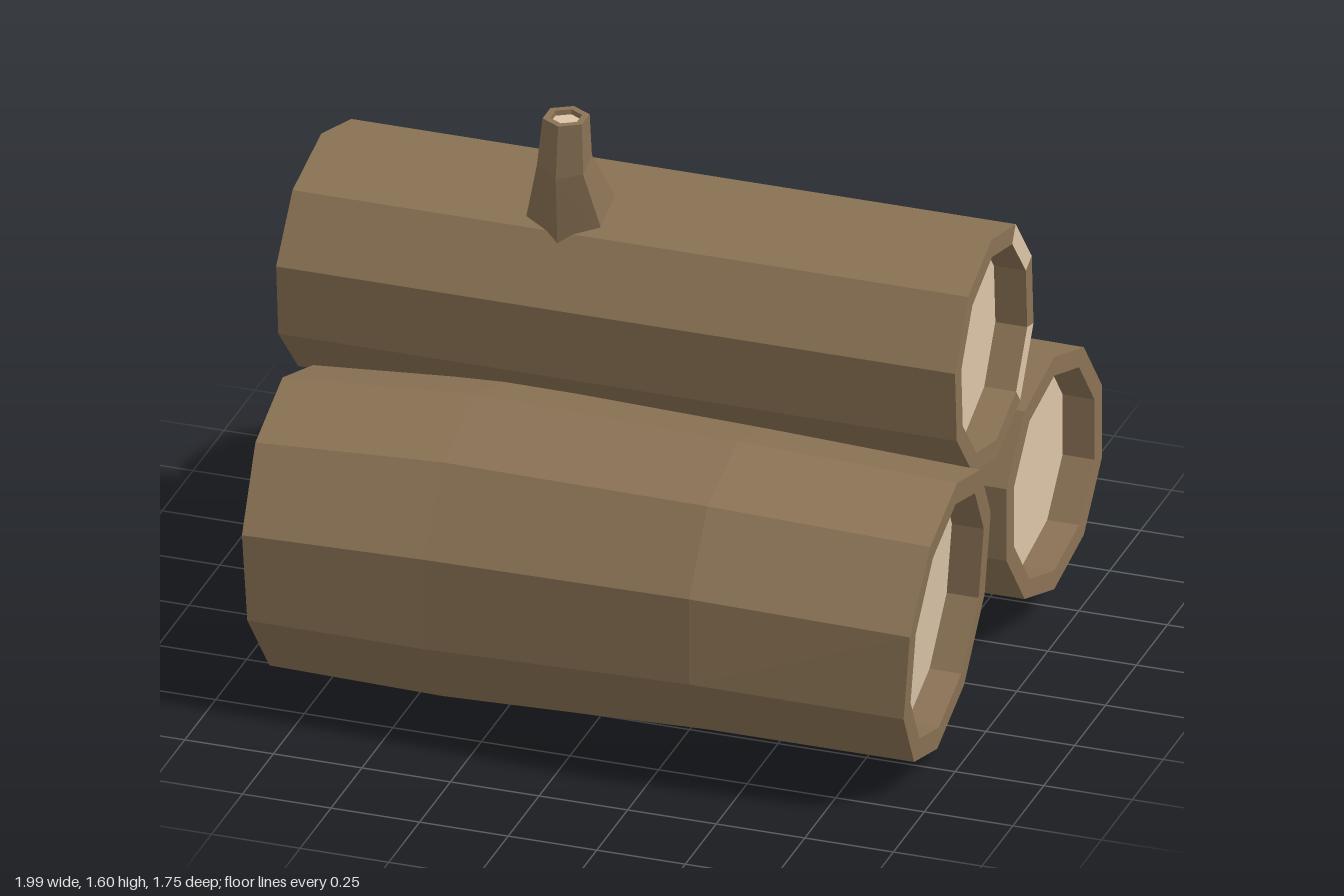
import * as THREE from 'three';

const bark = new THREE.MeshStandardMaterial({ color: 0x8b7355, flatShading: true });
const wood = new THREE.MeshStandardMaterial({ color: 0xdcc5a8, flatShading: true });

// Skin a run of cross-section loops; keep(k) can pick out single sides
function loft(name, rings, material, keep = () => true) {
  const pos = [];
  const n = rings[0].length;
  for (let i = 0; i < rings.length - 1; i++) {
    for (let k = 0; k < n; k++) {
      if (!keep(k)) continue;
      const j = (k + 1) % n;
      const [a, b, c, d] = [rings[i][k], rings[i + 1][k], rings[i + 1][j], rings[i][j]];
      for (const tri of [[a, b, c], [a, c, d]]) {
        const area = new THREE.Triangle(...tri).getArea();
        if (area > 1e-9) tri.forEach((p) => pos.push(p.x, p.y, p.z));
      }
    }
  }
  const geo = new THREE.BufferGeometry();
  geo.setAttribute('position', new THREE.Float32BufferAttribute(pos, 3));
  geo.computeVertexNormals();
  const mesh = new THREE.Mesh(geo, material);
  mesh.name = name;
  return mesh;
}

const SIDES = 10;

// One log section: centre, radius, and lean of the section plane in y and z
function logRing({ x, y, z, r, ty = 0, tz = 0, bump = {} }, phase, scale = 1, dx = 0) {
  return Array.from({ length: SIDES }, (_, k) => {
    const a = phase + (k * Math.PI * 2) / SIDES;
    const dy = Math.sin(a) * r * scale;
    const dz = Math.cos(a) * r * scale;
    return new THREE.Vector3(x + dx + ty * dy + tz * dz, y + dy, z + dz + (bump[k] || 0));
  });
}

// Log: bark, raised rims and sunken cut faces at both ends
function makeLog(name, sections, phaseDeg, paleRim = []) {
  const phase = THREE.MathUtils.degToRad(phaseDeg);
  const depth = 0.09, inner = 0.84;
  const first = sections[0], last = sections[sections.length - 1];
  const group = new THREE.Group();
  group.name = name;

  const leftRim = logRing(first, phase, inner);
  const leftCut = logRing(first, phase, inner, depth);
  const rightEdge = logRing(last, phase);
  const rightRim = logRing(last, phase, inner);
  const rightCut = logRing(last, phase, inner, -depth);

  group.add(
    loft('bark', [leftCut, leftRim, ...sections.map((s) => logRing(s, phase))], bark),
    loft('rim', [rightEdge, rightRim], bark, (k) => !paleRim.includes(k)),
    loft('rimWall', [rightRim, rightCut], bark),
    loft('cutFaceRight', [rightCut, logRing(last, phase, 0, -depth)], wood),
    loft('cutFaceLeft', [logRing(first, phase, 0, depth), leftCut], wood)
  );
  // Chipped parts of the rim show bare wood
  if (paleRim.length) {
    group.add(loft('chippedRim', [rightEdge, rightRim], wood, (k) => paleRim.includes(k)));
  }
  return group;
}

// Six-sided branch stub through points [x, y, z, radius], with a cut tip
function makeBranch(name, points, tipNormal) {
  const centres = points.map((p) => new THREE.Vector3(p[0], p[1], p[2]));
  const end = centres.length - 1;
  const ring = (i, scale = 1, sink = 0) => {
    const t = i === end
      ? new THREE.Vector3(...tipNormal).normalize()
      : centres[i + 1].clone().sub(centres[Math.max(i - 1, 0)]).normalize();
    const side = new THREE.Vector3(1, 0, 0);
    const u = side.addScaledVector(t, -side.dot(t)).normalize();
    const v = u.clone().cross(t);
    return Array.from({ length: 6 }, (_, k) => {
      const a = ((k + 0.5) * Math.PI) / 3;
      return centres[i].clone()
        .addScaledVector(u, Math.cos(a) * points[i][3] * scale)
        .addScaledVector(v, Math.sin(a) * points[i][3] * scale)
        .addScaledVector(t, -sink);
    });
  };
  const group = new THREE.Group();
  group.name = name;
  group.add(
    loft('branchBark', [...centres.map((_, i) => ring(i)), ring(end, 0.68), ring(end, 0.68, 0.015)], bark),
    loft('branchCut', [ring(end, 0.68, 0.015), ring(end, 0, 0.015)], wood)
  );
  return group;
}

export function createModel() {
  const model = new THREE.Group();
  model.name = 'logPile';

  model.add(makeLog('frontLog', [
    { x: -0.895, y: 0.425, z: 0.44, r: 0.408, ty: -0.06, tz: 0.01 },
    { x: -0.38, y: 0.437, z: 0.43, r: 0.432 },
    { x: 0.38, y: 0.47, z: 0.485, r: 0.412 },
    { x: 0.96, y: 0.44, z: 0.45, r: 0.402, ty: 0.07, tz: 0.05 },
  ], 18));

  model.add(makeLog('backLog', [
    { x: -0.885, y: 0.44, z: -0.475, r: 0.347 },
    { x: -0.15, y: 0.46, z: -0.43, r: 0.347 },
    { x: 0.5, y: 0.42, z: -0.475, r: 0.35 },
    { x: 0.95, y: 0.435, z: -0.445, r: 0.347, tz: -0.06 },
  ], 18));

  model.add(makeLog('topLog', [
    { x: -0.975, y: 0.987, z: -0.06, r: 0.337, tz: -0.07 },
    { x: -0.25, y: 0.987, z: -0.06, r: 0.337 },
    { x: 0.37, y: 0.987, z: -0.06, r: 0.337, bump: { 4: -0.06, 5: -0.06 } },
    { x: 0.915, y: 0.987, z: -0.06, r: 0.337, tz: 0.01 },
  ], 14, [3, 5]));

  model.add(
    makeBranch('topBranch', [
      [-0.24, 1.23, 0.04, 0.135],
      [-0.225, 1.46, 0.15, 0.075],
      [-0.215, 1.6, 0.165, 0.064],
    ], [0, 1, 0]),
    makeBranch('rearBranch', [
      [0.3, 1.0, -0.4, 0.066],
      [0.32, 0.98, -0.58, 0.046],
      [0.335, 0.995, -0.66, 0.042],
    ], [0.05, 0.5, -0.87]),
    makeBranch('lowBranch', [
      [-0.2, 0.61, -0.64, 0.1],
      [-0.205, 0.69, -0.76, 0.062],
      [-0.23, 0.755, -0.862, 0.035],
    ], [-0.2, 0.4, -0.85])
  );
  return model;
}
